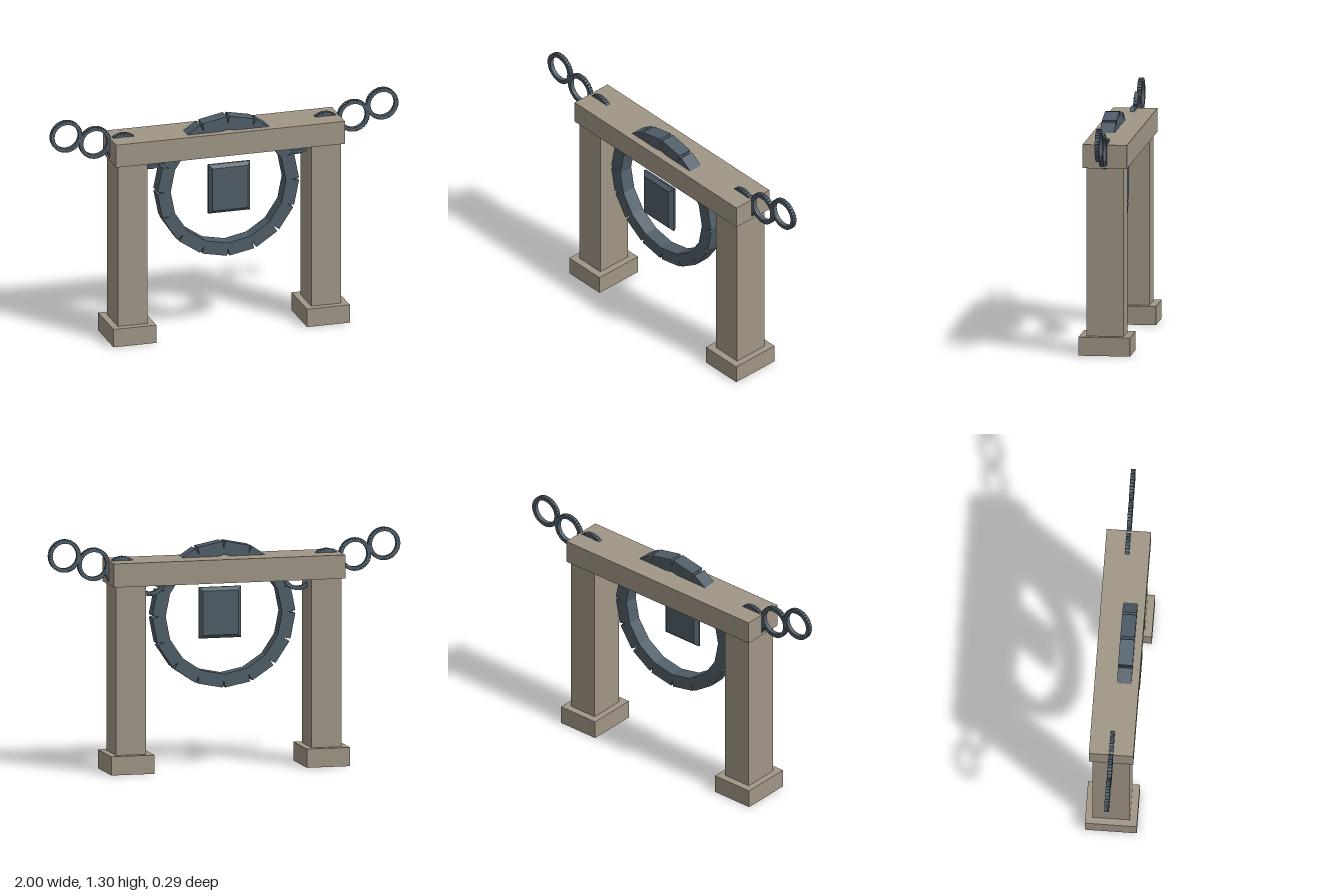
import * as THREE from 'three';
import { mergeGeometries } from 'three/addons/utils/BufferGeometryUtils.js';

const stone = new THREE.MeshStandardMaterial({ color: 0xa09686 });
stone.name = 'stone';
const steel = new THREE.MeshStandardMaterial({ color: 0x505e69 });
steel.name = 'darkSteel';

function add(parent, name, geometry, material, x, y, z) {
  const mesh = new THREE.Mesh(geometry, material);
  mesh.name = name;
  mesh.position.set(x, y, z);
  parent.add(mesh);
}

// Ring of straight blocks that meet on the inside and leave notches outside
function blockRing(count, inner, outer, blockLength, depth) {
  const blocks = [];
  for (let i = 0; i < count; i++) {
    const block = new THREE.BoxGeometry(outer - inner, blockLength, depth);
    block.translate((inner + outer) / 2, 0, 0);
    block.rotateZ(((i + 0.5) / count) * Math.PI * 2);
    blocks.push(block);
  }
  return mergeGeometries(blocks);
}

// Slab with chamfered edges on front and back
function chamferedPanel(w, h, depth, bevel) {
  const x = w / 2 - bevel, y = h / 2 - bevel;
  const shape = new THREE.Shape();
  shape.moveTo(-x, -y).lineTo(x, -y).lineTo(x, y).lineTo(-x, y).closePath();
  const geometry = new THREE.ExtrudeGeometry(shape, {
    depth: depth - 2 * bevel, bevelEnabled: true, bevelSize: bevel,
    bevelThickness: bevel, bevelSegments: 1,
  });
  return geometry.translate(0, 0, bevel - depth / 2);
}

export function createModel() {
  const model = new THREE.Group();
  model.name = 'stoneGate';

  // Stone frame
  for (const [side, s] of [['left', 1], ['right', -1]]) {
    add(model, side + 'Base', new THREE.BoxGeometry(0.246, 0.104, 0.286), stone, s * 0.556, 0.052, 0);
    add(model, side + 'Post', new THREE.BoxGeometry(0.171, 0.936, 0.206), stone, s * 0.556, 0.572, 0);
  }
  add(model, 'lintel', new THREE.BoxGeometry(1.316, 0.131, 0.245), stone, 0, 1.1055, 0);

  // Big notched ring with the panel hung in its middle
  add(model, 'notchedRing', blockRing(16, 0.325, 0.4, 0.143, 0.08), steel, 0, 0.848, 0.041);
  add(model, 'centrePanel', chamferedPanel(0.24, 0.284, 0.05, 0.019), steel, 0, 0.848, 0.092);

  // Chains rising outward through the lintel
  const linkGeometry = blockRing(32, 0.069, 0.0915, 0.0155, 0.024);
  const linkCentres = [[0.42, 1.06], [0.58, 1.103], [0.743, 1.155], [0.908, 1.208]];
  for (const [side, s] of [['left', 1], ['right', -1]]) {
    const chain = new THREE.Group();
    chain.name = side + 'Chain';
    linkCentres.forEach(([x, y], i) => add(chain, 'link' + (i + 1), linkGeometry, steel, s * x, y, 0));
    model.add(chain);
  }
  return model;
}
